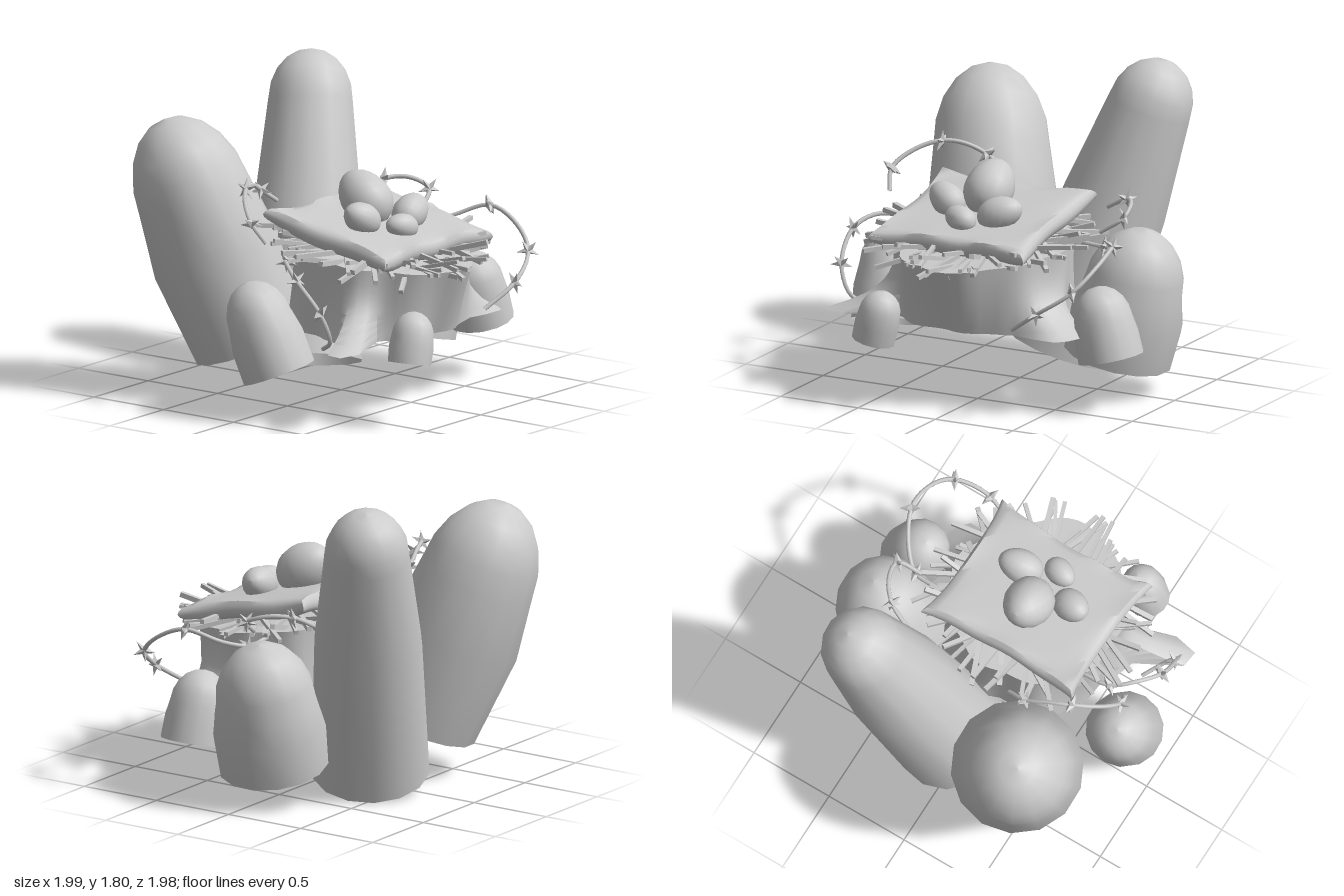
import * as THREE from 'three';
import { toCreasedNormals } from 'three/addons/utils/BufferGeometryUtils.js';

const material = new THREE.MeshStandardMaterial({ color: 0xcccccc, side: THREE.DoubleSide });
const flatMaterial = new THREE.MeshStandardMaterial({ color: 0xcccccc, flatShading: true });
const UP = new THREE.Vector3(0, 1, 0);

function addMesh(parent, name, geometry, mat = material) {
  const mesh = new THREE.Mesh(geometry, mat);
  mesh.name = name;
  parent.add(mesh);
  return mesh;
}

// Move every vertex of a geometry by a rule, then rebuild its normals
function reshape(geometry, rule, crease) {
  const p = geometry.attributes.position;
  const v = new THREE.Vector3();
  for (let i = 0; i < p.count; i++) {
    rule(v.fromBufferAttribute(p, i));
    p.setXYZ(i, v.x, v.y, v.z);
  }
  return toCreasedNormals(geometry, crease);
}

function seeded(seed) {
  return () => {
    seed = (seed * 16807) % 2147483647;
    return seed / 2147483647;
  };
}

// Open-bottomed rounded column running from the middle of its base to its tip
function addColumn(parent, name, base, tip, [baseRadius, midRadius, topRadius], dome) {
  const from = new THREE.Vector3(...base);
  const axis = new THREE.Vector3(...tip).sub(from);
  const height = axis.length();
  const shoulder = height - dome;
  const profile = [new THREE.Vector2(baseRadius, 0), new THREE.Vector2(midRadius, shoulder * 0.6)];
  for (let i = 0; i <= 5; i++) {
    const a = (i / 5) * Math.PI / 2;
    profile.push(new THREE.Vector2(topRadius * Math.cos(a), shoulder + dome * Math.sin(a)));
  }
  const mesh = addMesh(parent, name, new THREE.LatheGeometry(profile, 14));
  mesh.position.copy(from);
  mesh.quaternion.setFromUnitVectors(UP, axis.normalize());
}

// Tree stump with flared roots: angle, reach, width, steepness of the flare
function stumpGeometry() {
  const roots = [[156, 0.36, 9, 3.5], [168, 0.08, 18, 2.5], [20, 0.29, 17, 3], [-60, 0.06, 25, 2], [-130, 0.06, 25, 2]];
  return reshape(new THREE.CylinderGeometry(1, 1, 1, 60, 10), (v) => {
    const h = v.y + 0.5;
    const a = Math.atan2(v.z, v.x);
    const deg = THREE.MathUtils.radToDeg(a);
    let r = 0.49 + 0.015 * Math.cos(a * 9) + 0.02 * h;
    for (const [angle, reach, width, power] of roots) {
      let d = deg - angle;
      if (d > 180) d -= 360;
      if (d < -180) d += 360;
      r += reach * Math.exp(-((d / width) ** 4)) * (1 - h) ** power;
    }
    // the front juts out to a ridge under the rim and draws in towards the ground
    r += Math.max(0, 1 - Math.abs(deg - 92) / 45) * (0.16 * h - 0.06);
    const z = v.z * r * 0.95;
    v.set(-0.05 + v.x * r, 0.44 + (0.44 - 0.1 * z) * h, 0.33 + z);
  }, 0.9);
}

// Cushion with drawn-out corners and pinched edges
function cushionGeometry() {
  return reshape(new THREE.BoxGeometry(2, 2, 2, 16, 4, 16), (v) => {
    const { x: u, y: w, z: s } = v;
    const corner = Math.abs(u * s) ** 5;
    const edge = Math.max(Math.abs(u), Math.abs(s)) ** 8;
    const bulge = 1 - edge * 0.05 * w * w;
    const thick = 0.05 + 0.004 * (1 - u ** 4) * (1 - s ** 4) - 0.016 * corner;
    v.x = u * 0.5 * (0.965 - 0.03 * (1 - s * s) + 0.04 * corner) * bulge;
    v.z = s * 0.44 * (0.955 - 0.05 * (1 - u * u) + 0.06 * corner) * bulge;
    v.y = w * thick + 0.01 * edge * Math.sin(u * 7 + s * 4) + 0.015 * corner;
  }, 1.0);
}

// Five-pointed double pyramid
function barbGeometry() {
  return reshape(new THREE.SphereGeometry(1, 10, 2), (v) => {
    const step = Math.round(Math.atan2(v.z, v.x) / (Math.PI / 5));
    const r = step % 2 === 0 ? 0.068 : 0.025;
    v.set(v.x * r, v.y * 0.025, v.z * r);
  }, 0.1);
}

// Wire through the given points with barbs at some of them
function addWire(parent, name, points, barbs) {
  const wire = new THREE.Group();
  wire.name = name;
  parent.add(wire);
  const path = points.map((p) => new THREE.Vector3(...p));
  const curve = new THREE.CatmullRomCurve3(path);
  addMesh(wire, 'wire', new THREE.TubeGeometry(curve, points.length * 4, 0.013, 6));
  const star = barbGeometry();
  for (const i of barbs) {
    const mesh = addMesh(wire, 'barb', star, flatMaterial);
    mesh.position.copy(path[i]);
    mesh.quaternion.setFromUnitVectors(UP, curve.getTangent(i / (points.length - 1)));
    mesh.rotateY(i);
    mesh.rotateX(0.5);
  }
}

export function createModel() {
  const model = new THREE.Group();
  model.name = 'nestOnStump';

  // Columns: base middle, tip, radii from base to top, dome height
  addColumn(model, 'tallColumnLeft', [0.085, 0.1, -0.34], [0.585, 1.77, -0.665], [0.34, 0.31, 0.245], 0.29);
  addColumn(model, 'tallColumnRight', [-0.365, 0.275, -0.37], [-0.625, 1.57, -0.785], [0.33, 0.38, 0.335], 0.47);
  addColumn(model, 'middleColumnLeft', [0.61, 0.195, -0.04], [0.785, 0.945, -0.06], [0.315, 0.328, 0.29], 0.37);
  addColumn(model, 'smallColumnLeft', [0.8, 0.305, 0.385], [0.7, 0.71, 0.375], [0.19, 0.185, 0.17], 0.2);
  addColumn(model, 'middleColumnRight', [-0.77, 0.255, 0.15], [-0.83, 0.765, -0.04], [0.215, 0.215, 0.19], 0.23);
  addColumn(model, 'smallColumnFront', [-0.48, 0.355, 0.86], [-0.41, 0.645, 0.85], [0.125, 0.13, 0.122], 0.14);

  addMesh(model, 'stump', stumpGeometry());

  // Straw fanned out between stump and cushion
  const straw = new THREE.Group();
  straw.name = 'straw';
  model.add(straw);
  const random = seeded(77);
  const count = 76;
  for (let i = 0; i < count; i++) {
    const t = ((i + random()) / count) * Math.PI * 2;
    const a = t + 0.25 * Math.cos(t); // denser at the front
    const length = 0.24 + random() * 0.2;
    const reach = 0.38 + random() * 0.11;
    const width = 0.02 + random() * 0.01;
    const z = 0.33 + Math.sin(a) * reach;
    const stick = addMesh(straw, 'stick', new THREE.BoxGeometry(length, width, width), flatMaterial);
    stick.position.set(-0.05 + Math.cos(a) * reach * 1.08, 0.91 + (0.33 - z) * 0.12 + (random() - 0.5) * 0.09, z);
    stick.rotation.set(0, -a + (random() - 0.5) * 1.1, (random() - 0.5) * 0.6, 'YZX');
  }

  // Cushion sloping down to the front
  const cushion = addMesh(model, 'cushion', cushionGeometry());
  cushion.position.set(-0.07, 0.99, 0.315);
  cushion.rotation.x = 0.2;

  // Eggs: middle, thickness, half length, long axis
  const eggs = [
    [[-0.07, 1.155, 0.225], 0.143, 0.18, [0, 0.6, -0.7]],
    [[-0.275, 1.09, 0.36], 0.092, 0.122, [-0.8, 0.5, -0.2]],
    [[0.1, 1.07, 0.42], 0.098, 0.135, [0.9, 0.35, -0.2]],
    [[-0.105, 1.035, 0.515], 0.075, 0.102, [-1, 0.25, -0.3]],
  ];
  for (const [middle, radius, half, axis] of eggs) {
    const profile = [];
    for (let i = 0; i <= 12; i++) {
      const t = (i / 12) * Math.PI;
      profile.push(new THREE.Vector2(Math.sin(t) * radius * (1 + 0.1 * Math.cos(t)), -Math.cos(t) * half));
    }
    const egg = addMesh(model, 'egg', new THREE.LatheGeometry(profile, 16));
    egg.position.set(...middle);
    egg.quaternion.setFromUnitVectors(UP, new THREE.Vector3(...axis).normalize());
  }

  // Barbed wire loops on both sides
  addWire(model, 'barbedWireRight', [
    [-0.25, 1.1, -0.27], [-0.37, 1.18, -0.29], [-0.5, 1.24, -0.25], [-0.62, 1.25, -0.2],
    [-0.75, 1.2, -0.11], [-0.83, 1.11, 0], [-0.8, 1.0, 0.08],
  ], [1, 3, 5]);
  addWire(model, 'barbedWireLowRight', [
    [-0.5, 0.86, 0.12], [-0.67, 0.88, 0.13], [-0.8, 0.9, 0.23], [-0.88, 0.84, 0.36],
    [-0.87, 0.67, 0.52], [-0.8, 0.5, 0.54], [-0.71, 0.42, 0.42],
  ], [1, 3, 4]);
  addWire(model, 'barbedWireLeft', [
    [0.36, 0.5, 0.75], [0.55, 0.63, 0.82], [0.75, 0.77, 0.76], [0.83, 0.9, 0.6],
    [0.83, 0.97, 0.42], [0.73, 0.9, 0.23], [0.62, 0.87, 0.13], [0.45, 0.88, 0.12],
  ], [1, 2, 4, 6]);
  addWire(model, 'barbedWireUpperLeft', [
    [0.45, 1.0, -0.22], [0.6, 1.08, -0.16], [0.69, 1.09, -0.05], [0.71, 1.04, 0.08], [0.58, 0.95, 0.12],
  ], [1, 3]);

  return model;
}
